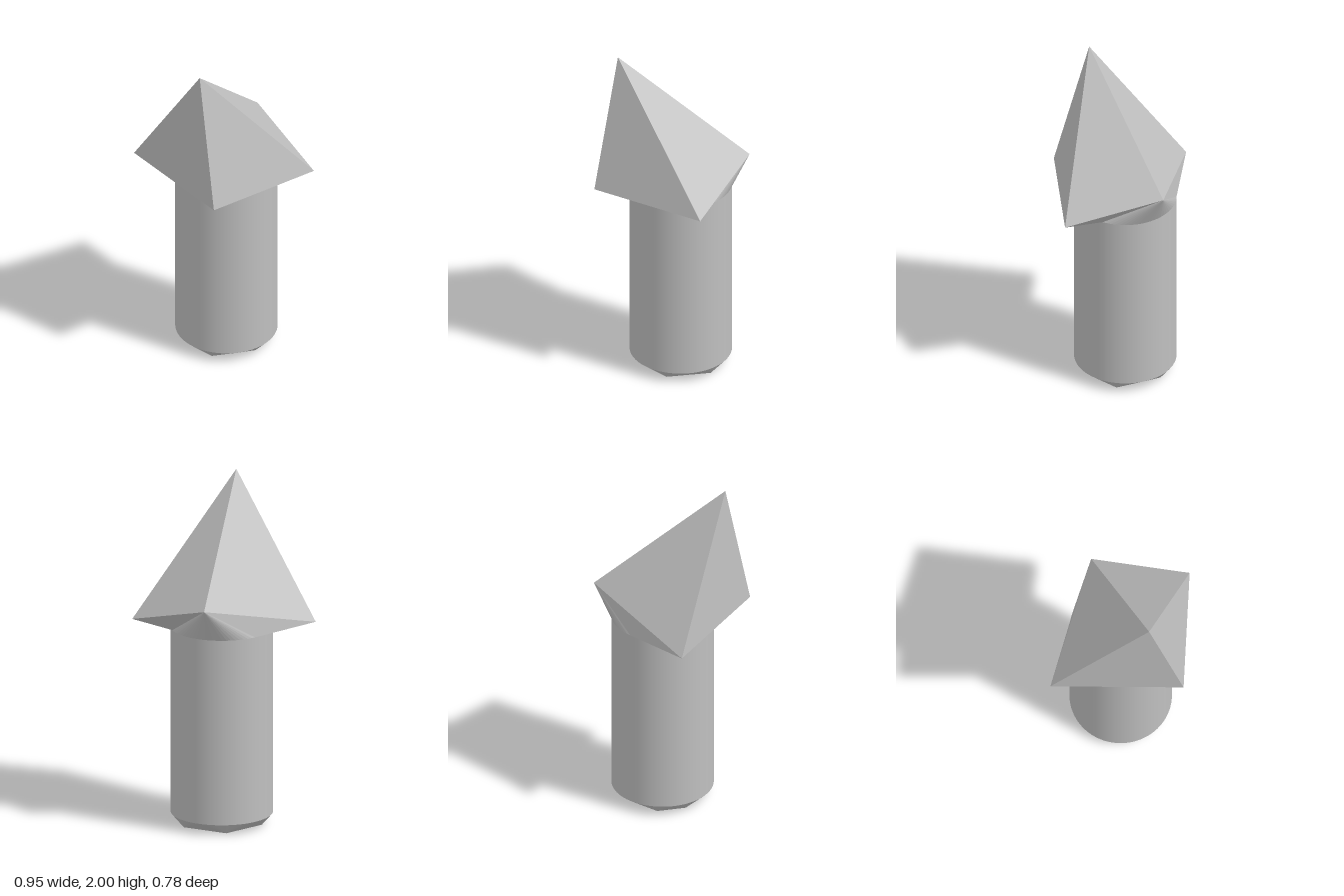
import * as THREE from 'three';

const CX = 0.015, CZ = -0.09, R = 0.293, BOTTOM = 0.065, TOP = 1.165, SEGMENTS = 72;

const rimPoint = (i, y) => {
  const t = (i / SEGMENTS) * Math.PI * 2;
  return [CX + R * Math.cos(t), y, CZ + R * Math.sin(t)];
};

// Flat-shaded mesh from a list of triangles
function facetMesh(name, triangles, material) {
  const geometry = new THREE.BufferGeometry();
  geometry.setAttribute('position', new THREE.Float32BufferAttribute(triangles.flat(2), 3));
  geometry.computeVertexNormals();
  const mesh = new THREE.Mesh(geometry, material);
  mesh.name = name;
  return mesh;
}

// Joins the round rim to a polygon; starts[k] is the rim angle where corner k takes over
function loft(corners, starts, rimY, cornersAbove) {
  const triangles = [];
  const n = corners.length;
  const add = (a, b, c) => triangles.push(cornersAbove ? [a, c, b] : [a, b, c]);
  const steps = starts.map((a) => Math.round((a / 360) * SEGMENTS));
  corners.forEach((corner, k) => {
    const from = steps[k];
    const to = k + 1 < n ? steps[k + 1] : steps[0] + SEGMENTS;
    for (let i = from; i < to; i++) add(rimPoint(i, rimY), rimPoint(i + 1, rimY), corner);
    add(rimPoint(to, rimY), corners[(k + 1) % n], corner);
  });
  return triangles;
}

export function createModel() {
  const group = new THREE.Group();
  const grey = new THREE.MeshStandardMaterial({ color: 0xbfbfbf });
  grey.name = 'plain grey';

  // Round shaft
  const shaft = new THREE.Mesh(
    new THREE.CylinderGeometry(R, R, TOP - BOTTOM, SEGMENTS, 1, true), grey);
  shaft.position.set(CX, (TOP + BOTTOM) / 2, CZ);
  shaft.name = 'shaft';
  group.add(shaft);

  // Irregular pyramid head
  const apex = [-0.21, 2, 0.19];
  const headCorners = [
    [0.475, 1.207, 0.135], [-0.175, 1.21, 0.39], [-0.475, 1.188, -0.31], [0.27, 1.362, -0.39],
  ];
  const headFaces = headCorners.map((c, k) => [apex, headCorners[(k + 1) % 4], c]);
  group.add(facetMesh('head', headFaces, grey));

  // Underside of the head, narrowing to the shaft
  group.add(facetMesh('headUnderside', loft(headCorners, [10, 70, 160, 255], TOP, true), grey));

  // Chamfered foot ending in an uneven hexagon
  const footCorners = [
    [0.25, -0.02], [0.122, 0.2], [-0.134, 0.198], [-0.24, -0.012], [-0.175, -0.165], [0.083, -0.233],
  ].map(([x, z]) => [CX + x, 0.004, CZ + z]);
  footCorners[1][1] = footCorners[2][1] = 0;
  group.add(facetMesh('footChamfer', loft(footCorners, [-35, 25, 90, 155, 205, 255], BOTTOM, false), grey));

  const sole = [];
  for (let k = 1; k < 5; k++) sole.push([footCorners[0], footCorners[k], footCorners[k + 1]]);
  group.add(facetMesh('sole', sole, grey));

  return group;
}
